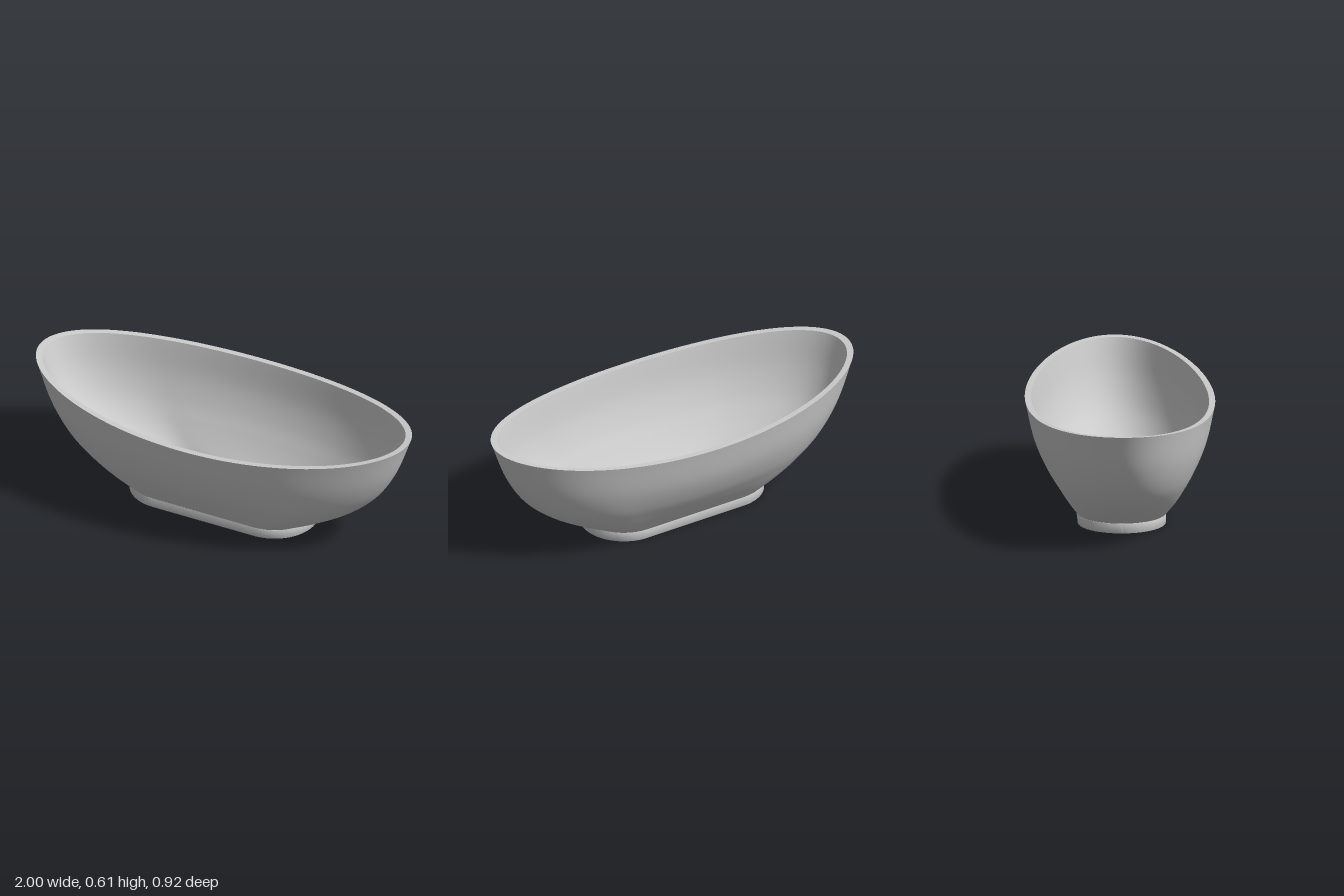
import * as THREE from 'three';
import { toCreasedNormals } from 'three/addons/utils/BufferGeometryUtils.js';

const SEG = 128;
const FOOT = { half: 0.277, r: 0.213, h: 0.05 };
const rimY = x => 0.547 + 0.063 * x * x;

// Wall curve: x spread, z spread, height fraction
const wall = new THREE.CatmullRomCurve3([
  [0, 0, 0], [0.27, 0.22, 0.12], [0.5, 0.42, 0.25],
  [0.7, 0.64, 0.42], [0.86, 0.845, 0.66], [1, 1, 1],
].map(p => new THREE.Vector3(...p)));

// Point on a stadium outline along the direction (dx, dz)
function stadium(dx, dz, half, r) {
  const l = Math.hypot(dx, dz), c = dx / l, s = dz / l;
  let d = r / Math.max(Math.abs(s), 1e-6);
  if (Math.abs(c) * d > half) d = half * Math.abs(c) + Math.sqrt(r * r - (half * s) ** 2);
  return [c * d, s * d];
}

// Ring point blending from the stadium floor to the elliptical rim
function section(a, u, rx, rz, r, y0) {
  const ex = rx * Math.cos(a), ez = rz * Math.sin(a);
  const [sx, sz] = stadium(ex, ez, FOOT.half, r);
  const p = wall.getPoint(u);
  return [sx + (ex - sx) * p.x, y0 + (rimY(ex) - y0) * p.z, sz + (ez - sz) * p.y];
}
const outer = (a, u) => section(a, u, 1, 0.46, FOOT.r, FOOT.h);
const inner = (a, u) => section(a, u, 0.967, 0.43, 0.19, 0.085);

// Closed rings joined into a smooth skin
function loft(rings, point) {
  const pos = [], idx = [];
  for (let j = 0; j <= rings; j++)
    for (let i = 0; i < SEG; i++) {
      pos.push(...point(i / SEG * Math.PI * 2, j / rings));
      if (j === rings) continue;
      const a = j * SEG + i, b = j * SEG + (i + 1) % SEG;
      idx.push(a, a + SEG, b, b, a + SEG, b + SEG);
    }
  const g = new THREE.BufferGeometry();
  g.setAttribute('position', new THREE.Float32BufferAttribute(pos, 3));
  g.setIndex(idx);
  g.computeVertexNormals();
  return g;
}

export function createModel() {
  const group = new THREE.Group();
  const material = new THREE.MeshStandardMaterial({ color: 0xcccccc, side: THREE.DoubleSide });
  const add = (name, geometry) => {
    const mesh = new THREE.Mesh(geometry, material);
    mesh.name = name;
    group.add(mesh);
    return mesh;
  };

  // Basin skins
  add('outerWall', loft(40, outer));
  add('rim', loft(1, (a, v) => (v ? inner : outer)(a, 1)));

  // Inner wall running down into a slightly dished floor
  const drainR = 0.024;
  add('innerBasin', loft(60, (a, v) => {
    if (v <= 0.7) return inner(a, 1 - v / 0.7);
    const s = (1 - v) / 0.3;
    const [x, , z] = inner(a, 0);
    const l = Math.hypot(x, z), k = s + (1 - s) * drainR / l;
    return [x * k, 0.075 + 0.01 * s ** 3, z * k];
  }));

  // Drain plug in the floor
  const drain = add('drain', new THREE.CylinderGeometry(drainR, drainR, 0.012, 32));
  drain.position.y = 0.07;

  // Stadium foot with a small outlet hole
  const bevel = 0.003, r = FOOT.r - bevel;
  const shape = new THREE.Shape();
  shape.absarc(FOOT.half, 0, r, -Math.PI / 2, Math.PI / 2);
  shape.absarc(-FOOT.half, 0, r, Math.PI / 2, Math.PI * 1.5);
  shape.closePath();
  const hole = new THREE.Path();
  hole.absarc(0, 0, 0.015, 0, Math.PI * 2, true);
  shape.holes.push(hole);
  const footGeo = new THREE.ExtrudeGeometry(shape, {
    depth: FOOT.h - 2 * bevel, bevelEnabled: true, bevelSize: bevel,
    bevelThickness: bevel, bevelSegments: 2, curveSegments: 40,
  });
  footGeo.rotateX(-Math.PI / 2).translate(0, bevel, 0);
  add('foot', toCreasedNormals(footGeo, 0.6));

  return group;
}
